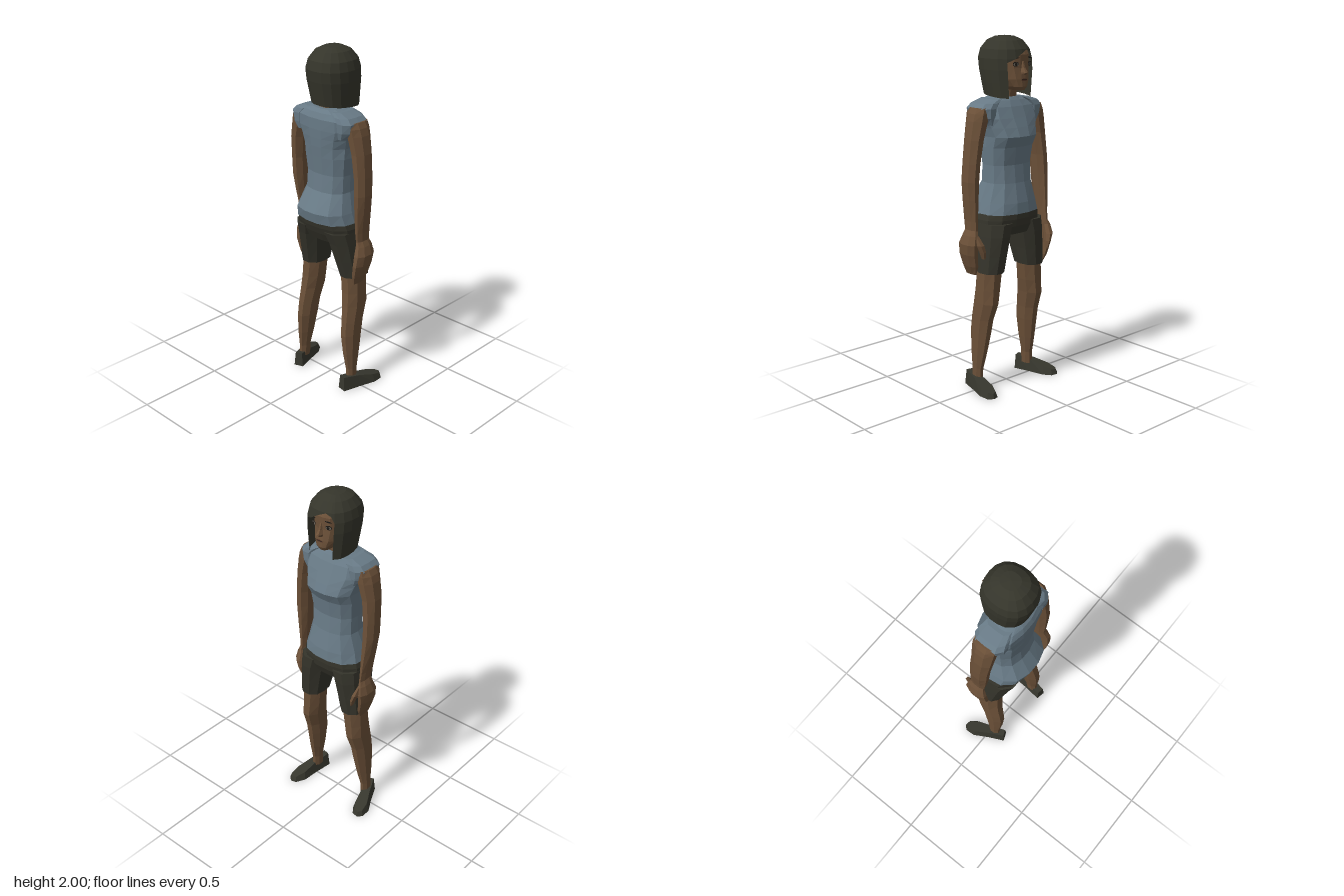
import * as THREE from 'three';

const mat = (name, color, side = THREE.FrontSide) => {
  const m = new THREE.MeshStandardMaterial({ color, side });
  m.name = name;
  m.flatShading = true;
  return m;
};

function build(pos, idx) {
  const g = new THREE.BufferGeometry();
  g.setAttribute('position', new THREE.Float32BufferAttribute(pos, 3));
  g.setIndex(idx);
  const flat = g.toNonIndexed();
  flat.computeVertexNormals();
  return flat;
}

// Superellipse radius factor in direction t
const squircle = (t, e) =>
  Math.pow(Math.pow(Math.abs(Math.cos(t)), e) + Math.pow(Math.abs(Math.sin(t)), e), -1 / e);

// Closed loft through horizontal sections [y, x0, x1, z0, z1], listed bottom to top
function loft(sections, n = 10, e = 2.4) {
  const ring = [], pos = [], idx = [];
  for (let j = 0; j < n; j++) {
    const t = ((j + 0.5) / n) * Math.PI * 2, r = squircle(t, e);
    ring.push([r * Math.cos(t), r * Math.sin(t)]);
  }
  const mx = Math.max(...ring.map((p) => p[0])), mz = Math.max(...ring.map((p) => p[1]));
  for (const [y, x0, x1, z0, z1] of sections)
    for (const [c, s] of ring)
      pos.push((x0 + x1) / 2 + (x1 - x0) / 2 * c / mx, y, (z0 + z1) / 2 + (z1 - z0) / 2 * s / mz);
  const top = sections.length - 1, base = pos.length / 3;
  for (const k of [0, top]) {
    const [y, x0, x1, z0, z1] = sections[k];
    pos.push((x0 + x1) / 2, y, (z0 + z1) / 2);
  }
  for (let j = 0; j < n; j++) {
    const k = (j + 1) % n;
    for (let i = 0; i < top; i++) {
      const a = i * n + j, b = i * n + k;
      idx.push(a, a + n, b, b, a + n, b + n);
    }
    idx.push(base, j, k, base + 1, top * n + k, top * n + j);
  }
  return build(pos, idx);
}

// Sections given as [y, x0, x1, halfWidth]
const centred = (list) => list.map(([y, a, b, w]) => [y, a, b, -w, w]);

// Hair: columns [degrees from the face, bottom height] hung over a dome profile
function hairGeometry() {
  const profile = [[2, 0], [1.995, 0.36], [1.975, 0.66], [1.93, 0.91], [1.88, 1],
    [1.82, 0.99], [1.75, 0.93], [1.67, 0.86]];
  const radiusAt = (y) => {
    for (let i = 1; i < profile.length; i++) {
      const [y0, r0] = profile[i - 1], [y1, r1] = profile[i];
      if (y >= y1) return r0 + (r1 - r0) * (y0 - y) / (y0 - y1);
    }
    return profile[profile.length - 1][1];
  };
  const cols = [[-40, 1.88], [-33, 1.912], [-20, 1.927], [0, 1.908], [20, 1.88], [40, 1.86], [40, 1.67]];
  for (let a = 60; a <= 300; a += 20) cols.push([a, 1.67 + 0.018 * Math.sin((a - 60) / 240 * Math.PI)]);
  cols.push([320, 1.67], [320, 1.88]);
  const pos = [], idx = [], rows = profile.length;
  for (const [deg, bottom] of cols) {
    const t = THREE.MathUtils.degToRad(deg), s = squircle(t, 2.4);
    for (const [py] of profile) {
      const y = Math.max(py, bottom), r = radiusAt(y) * s;
      const forward = 0.02 * Math.max(0, 1.88 - y) / 0.21;
      pos.push(0.002 + forward + 0.146 * r * Math.cos(t), y, 0.012 + 0.134 * r * Math.sin(t));
    }
  }
  for (let c = 0; c < cols.length - 1; c++)
    for (let i = 0; i < rows - 1; i++) {
      const a = c * rows + i, b = a + rows;
      idx.push(a, b, a + 1, b, b + 1, a + 1);
    }
  return build(pos, idx);
}

// Shoe: extruded sole outline whose top slopes down to the toe
function shoeGeometry() {
  const pts = [[-0.08, -0.028], [0.03, -0.036], [0.13, -0.05], [0.19, -0.032], [0.205, 0],
    [0.185, 0.034], [0.13, 0.047], [0.03, 0.036], [-0.08, 0.028]];
  const g = new THREE.ExtrudeGeometry(new THREE.Shape(pts.map(([x, z]) => new THREE.Vector2(x, -z))),
    { depth: 1, bevelEnabled: false });
  g.rotateX(-Math.PI / 2);
  const p = g.attributes.position;
  for (let i = 0; i < p.count; i++) {
    if (p.getY(i) < 0.5) continue;
    const x = p.getX(i);
    p.setXYZ(i, x * 0.95, x < 0.031 ? 0.085 - Math.max(0, x) * 0.5 : 0.07 - (x - 0.03) * 0.24, p.getZ(i) * 0.72);
  }
  g.computeVertexNormals();
  return g;
}

export function createModel() {
  const root = new THREE.Group();
  const skin = mat('skin', 0x6b5038);
  const shirt = mat('shirt', 0x687a86);
  const shorts = mat('shorts', 0x35342b);
  const hair = mat('hair', 0x35352b, THREE.DoubleSide);
  const shoe = mat('shoes', 0x37372e);
  const dark = mat('dark features', 0x1e1a16, THREE.DoubleSide);
  const eyeGrey = mat('eye grey', 0x6b665c, THREE.DoubleSide);
  const lip = mat('lips', 0x5a3b2c, THREE.DoubleSide);
  const add = (name, geo, m, parent = root) => {
    const mesh = new THREE.Mesh(geo, m);
    mesh.name = name;
    parent.add(mesh);
    return mesh;
  };

  // Torso
  add('shirt', loft(centred([
    [1.03, -0.16, 0.142, 0.19], [1.09, -0.174, 0.137, 0.175], [1.2, -0.112, 0.113, 0.143],
    [1.3, -0.102, 0.104, 0.143], [1.4, -0.113, 0.12, 0.153], [1.46, -0.12, 0.152, 0.156],
    [1.51, -0.124, 0.133, 0.172], [1.56, -0.127, 0.112, 0.195], [1.62, -0.127, 0.087, 0.19],
    [1.652, -0.113, 0.068, 0.145], [1.67, -0.095, 0.055, 0.08]]), 14, 2.6), shirt);
  add('pelvis', loft(centred([
    [0.91, -0.108, 0.11, 0.17], [0.96, -0.132, 0.132, 0.2],
    [1.0, -0.147, 0.138, 0.199], [1.05, -0.158, 0.136, 0.184]]), 14, 2.6), shorts);

  // Head, neck and hair
  add('neck', loft(centred([[1.6, -0.075, 0.06, 0.075], [1.67, -0.07, 0.05, 0.058], [1.76, -0.06, 0.06, 0.052]])), skin);
  add('head', loft(centred([
    [1.71, 0.03, 0.132, 0.028], [1.73, -0.03, 0.143, 0.05], [1.77, -0.075, 0.141, 0.074],
    [1.83, -0.1, 0.132, 0.087], [1.9, -0.1, 0.134, 0.087], [1.94, -0.09, 0.113, 0.08],
    [1.965, -0.06, 0.07, 0.055]]), 16, 2.8), skin);
  add('hair', hairGeometry(), hair);
  add('nose', loft(centred([[1.793, 0.11, 0.15, 0.017], [1.806, 0.11, 0.166, 0.017],
    [1.83, 0.11, 0.148, 0.011], [1.865, 0.11, 0.136, 0.008]]), 6, 2), skin);

  // Flat facial features
  const plate = (name, y, z, w, h, x, m, tilt = 0, yaw = 0) => {
    const p = add(name, new THREE.CircleGeometry(1, 12), m);
    p.scale.set(w, h, 1);
    p.position.set(x, y, z);
    p.rotation.set(0, Math.PI / 2 - yaw, tilt, 'YXZ');
  };
  for (const s of [1, -1]) {
    const z = s * 0.05, yaw = s * 0.35;
    plate('eyeOutline', 1.852, z, 0.018, 0.013, 0.132, dark, 0, yaw);
    plate('eyeWhite', 1.851, z, 0.015, 0.009, 0.134, eyeGrey, 0, yaw);
    plate('iris', 1.851, z, 0.008, 0.009, 0.136, dark, 0, yaw);
    plate('eyebrow', 1.884, z, 0.02, 0.004, 0.133, dark, s * 0.12, yaw);
  }
  plate('lips', 1.767, 0, 0.022, 0.007, 0.145, lip);
  plate('mouthLine', 1.768, 0, 0.022, 0.0015, 0.147, dark);

  // Limbs, defined for +z; the other arm swings slightly forward
  const sleeveSections = [
    [1.525, -0.095, 0.068, 0.12, 0.182], [1.565, -0.105, 0.075, 0.11, 0.212], [1.615, -0.108, 0.077, 0.1, 0.222],
    [1.642, -0.1, 0.07, 0.08, 0.196], [1.662, -0.085, 0.058, 0.06, 0.13]];
  const armSections = [
    [0.94, -0.055, 0.035, 0.232, 0.266], [1.0, -0.062, 0.036, 0.23, 0.268],
    [1.12, -0.068, 0.04, 0.222, 0.28], [1.22, -0.071, 0.043, 0.216, 0.288], [1.32, -0.067, 0.048, 0.21, 0.283],
    [1.45, -0.067, 0.055, 0.188, 0.272], [1.55, -0.074, 0.062, 0.16, 0.256],
    [1.59, -0.077, 0.062, 0.16, 0.244], [1.62, -0.072, 0.058, 0.165, 0.226]];
  const handSections = [
    [0.69, -0.066, 0.008, 0.226, 0.246], [0.74, -0.08, 0.03, 0.222, 0.268], [0.81, -0.088, 0.042, 0.232, 0.29],
    [0.87, -0.082, 0.052, 0.234, 0.298], [0.92, -0.063, 0.045, 0.232, 0.282], [0.95, -0.054, 0.034, 0.232, 0.266]];
  const thumbSections = [
    [0.79, 0.048, 0.07, 0.212, 0.23], [0.83, 0.04, 0.08, 0.212, 0.246],
    [0.87, 0.025, 0.077, 0.22, 0.264], [0.92, 0.0, 0.045, 0.235, 0.268]];
  const shortLeg = [
    [0.7, -0.058, 0.114, 0.08, 0.219], [0.8, -0.083, 0.124, 0.06, 0.213],
    [0.91, -0.112, 0.135, 0.036, 0.206], [0.98, -0.135, 0.135, 0.01, 0.2]];
  const legSections = [
    [0.05, -0.069, 0.003, 0.17, 0.218], [0.12, -0.066, 0.006, 0.168, 0.217], [0.22, -0.079, 0.028, 0.152, 0.218],
    [0.34, -0.086, 0.05, 0.136, 0.219], [0.42, -0.078, 0.064, 0.13, 0.219], [0.52, -0.062, 0.097, 0.117, 0.219],
    [0.6, -0.054, 0.098, 0.102, 0.217], [0.72, -0.05, 0.102, 0.086, 0.213]];

  for (const s of [1, -1]) {
    const side = s > 0 ? 'left' : 'right';
    const place = (list, swing) => list.map(([y, x0, x1, z0, z1]) => {
      const k = s < 0 && swing ? THREE.MathUtils.clamp((1.45 - y) / 0.55, 0, 1) : 0;
      const dx = 0.06 * k, a = z0 - 0.012 * k, b = z1 - 0.022 * k;
      return s > 0 ? [y, x0, x1, z0, z1] : [y, x0 + dx, x1 + dx, -b, -a];
    });
    add(side + 'Sleeve', loft(place(sleeveSections), 10, 4), shirt);
    add(side + 'Arm', loft(place(armSections, true), 8), skin);
    add(side + 'Hand', loft(place(handSections, true), 8), skin);
    add(side + 'Thumb', loft(place(thumbSections, true), 6), skin);
    add(side + 'ShortsLeg', loft(place(shortLeg), 10, 2.6), shorts);
    add(side + 'Leg', loft(place(legSections), 8), skin);
    const foot = add(side + 'Shoe', shoeGeometry(), shoe);
    foot.position.set(-0.032, 0, s * 0.205);
    foot.rotation.y = s > 0 ? -0.19 : 0.37;
    if (s < 0) foot.scale.x = 0.94;
  }
  return root;
}
